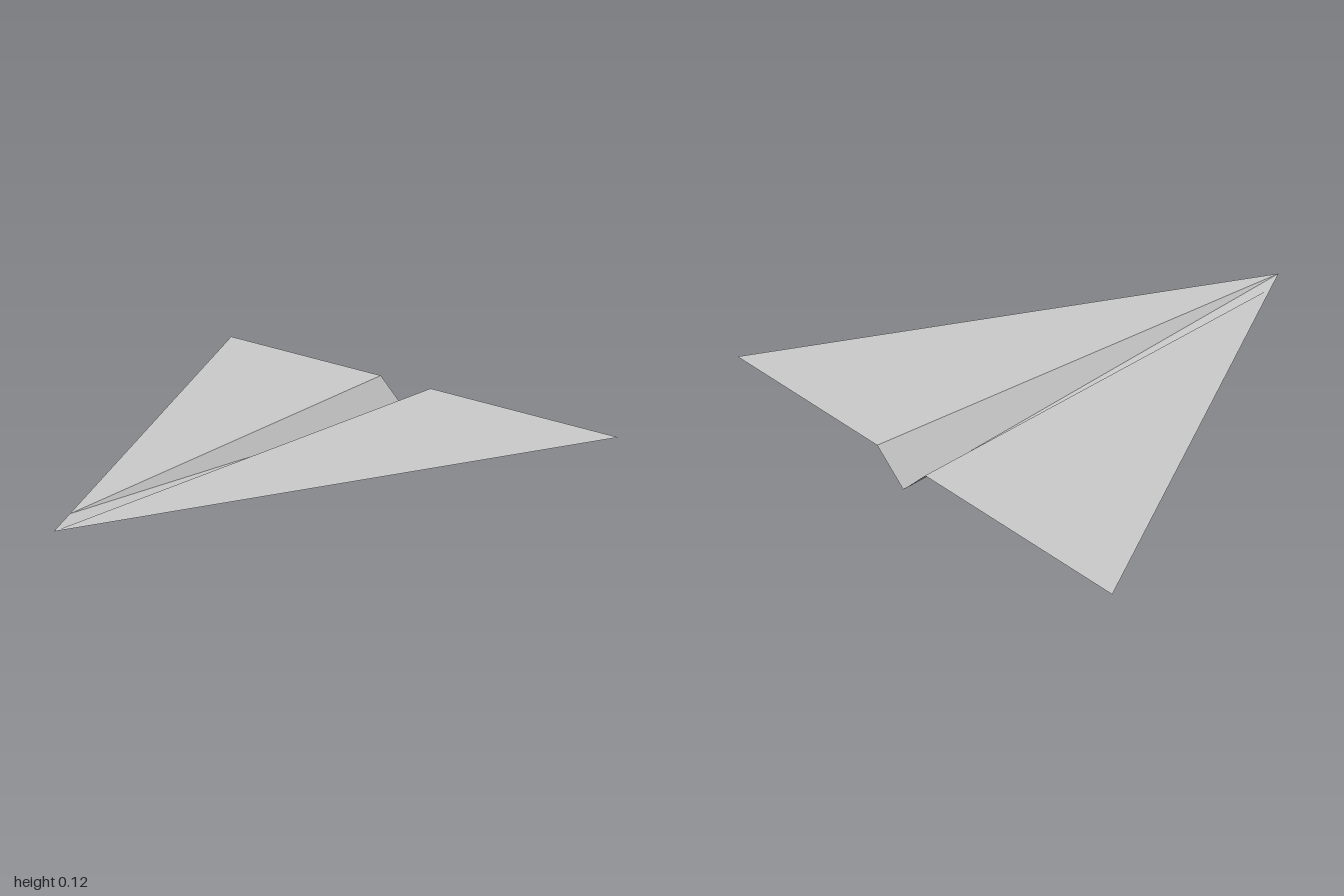
import * as THREE from 'three';

// Flat sheet from a fan of corner points
function sheet(name, corners, material) {
  const geometry = new THREE.BufferGeometry().setFromPoints(corners);
  const index = [];
  for (let i = 1; i < corners.length - 1; i++) index.push(0, i, i + 1);
  geometry.setIndex(index);
  const flat = geometry.toNonIndexed();
  flat.computeVertexNormals();
  const mesh = new THREE.Mesh(flat, material);
  mesh.name = name;
  return mesh;
}

export function createModel() {
  const plane = new THREE.Group();
  plane.name = 'paperPlane';
  const paper = new THREE.MeshStandardMaterial({ color: 0xcccccc, side: THREE.DoubleSide });
  paper.name = 'paper';

  const top = 0.12;
  for (const side of [1, -1]) {
    const p = (x, y, z) => new THREE.Vector3(side * x, y, z);
    const nose = p(0, top, 1);
    const foldFront = p(0.065, top, 0.87); // crease meets the leading edge
    const foldBack = p(0.13, top, -1);
    const keelBack = p(0, 0, -1);
    const tip = p(1, top, -1);
    const label = side > 0 ? 'left' : 'right';

    // Corner order is reversed on the mirrored side so both face up
    const order = (list) => (side > 0 ? list : list.reverse());
    plane.add(sheet(label + 'Wing', order([foldFront, tip, foldBack]), paper));
    plane.add(sheet(label + 'KeelFold', order([nose, foldFront, foldBack, keelBack]), paper));
  }
  return plane;
}
